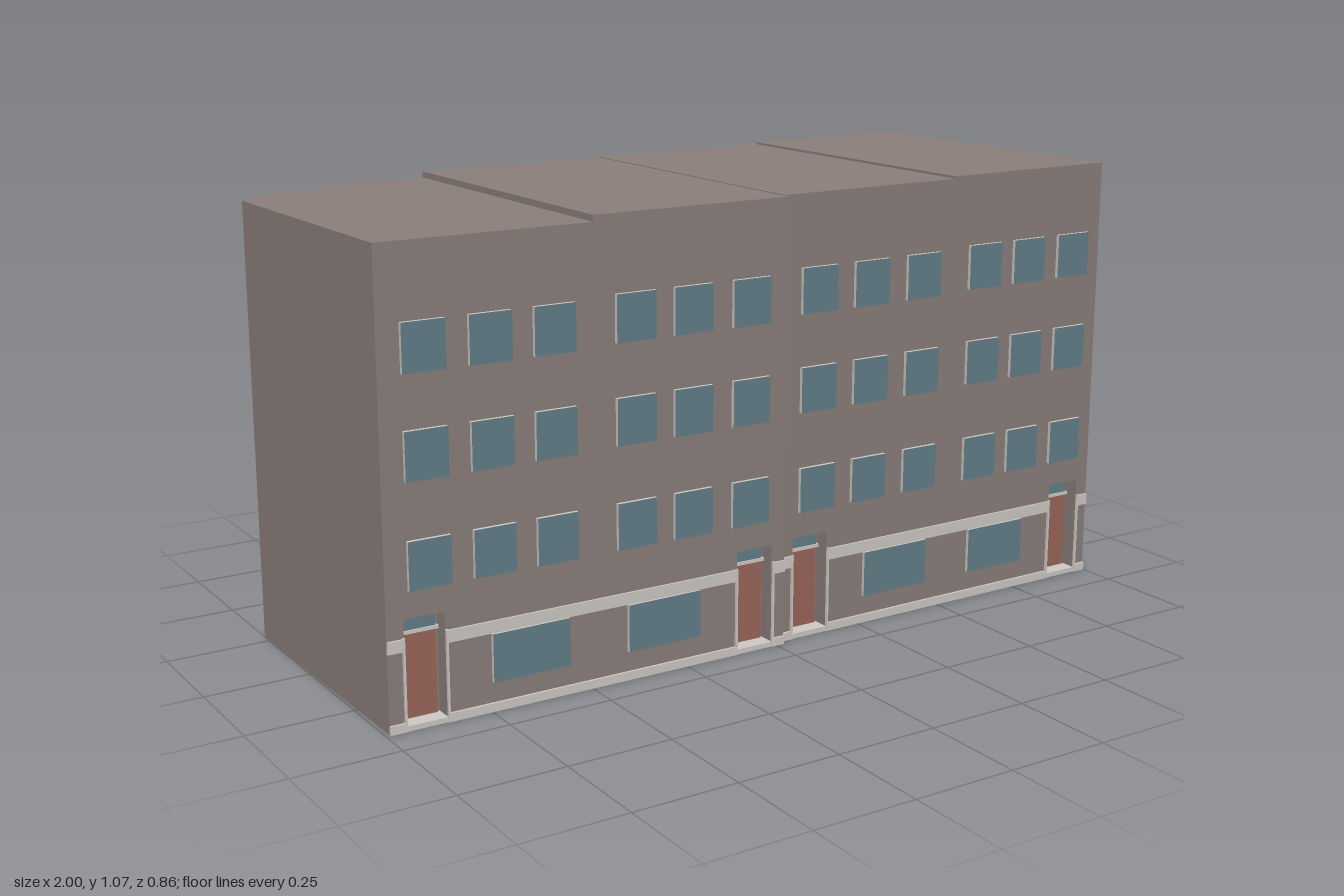
import * as THREE from 'three';

const mat = (name, color) => {
  const m = new THREE.MeshStandardMaterial({ color });
  m.name = name;
  return m;
};

export function createModel() {
  const wall = mat('brownGreyRender', 0x8c807c);
  const glass = mat('blueGreyGlass', 0x64808a);
  const stone = mat('paleStone', 0xd0cbc6);
  const wood = mat('redBrownDoor', 0x9c675b);
  const root = new THREE.Group();
  root.name = 'terraceBuilding';

  // The right pair of houses stands slightly behind the left pair.
  const STEP = 0.02;
  const front = x => x < STEP ? 0.412 + 0.008 * (x + 1) : 0.406 - 0.005 * (x - STEP);
  const back = x => -0.415 - 0.015 * (x + 0.73) / 1.715;

  // Vertical prism from a plan outline of [x, z] points.
  function prism(name, plan, y0, y1, material, parent = root) {
    const shape = new THREE.Shape(plan.map(([x, z]) => new THREE.Vector2(x, -z)));
    const geo = new THREE.ExtrudeGeometry(shape, { depth: y1 - y0, bevelEnabled: false });
    geo.rotateX(-Math.PI / 2).translate(0, y0, 0);
    const mesh = new THREE.Mesh(geo, material);
    mesh.name = name;
    parent.add(mesh);
  }
  // Strip that follows the front wall between two x positions.
  const strip = (name, x0, x1, y0, y1, zin, zout, material, parent) => {
    const a = x0 + 1e-5, b = x1 - 1e-5;
    prism(name, [[a, front(a) + zin], [b, front(b) + zin], [b, front(b) + zout], [a, front(a) + zout]],
      y0, y1, material, parent);
  };

  const doors = [[-0.95, -0.855], [-0.112, -0.015], [0.055, 0.155], [0.87, 0.965]];
  const doorTop = 0.25, recess = 0.04;
  const chamfer = [[-0.73, -0.415], [-0.80, -0.345], [-0.94, -0.345], [-1, -0.28]];

  // Ground storey with door recesses cut into its plan
  const plan = [...chamfer, [-0.99, front(-0.99)]];
  doors.forEach(([a, b], i) => {
    if (i === 2) plan.push([STEP, front(STEP - 1e-5)], [STEP, front(STEP)]);
    plan.push([a, front(a)], [a, front(a) - recess], [b, front(b) - recess], [b, front(b)]);
  });
  plan.push([1, front(1)], [0.985, back(0.985)]);
  prism('groundStorey', plan, 0, doorTop, wall);

  // Upper storeys: four houses with stepped roofs
  const cuts = [-0.485, STEP, 0.52];
  prism('upperHouse1', [...chamfer, [-0.99, front(-0.99)], [cuts[0], front(cuts[0])],
    [cuts[0], back(cuts[0])]], doorTop, 1.05, wall);
  [[cuts[0], cuts[1], 1.065], [cuts[1], cuts[2], 1.067]].forEach(([a, b, h], i) =>
    prism('upperHouse' + (i + 2), [[a, back(a)], [a, front(a)], [b, front(b - 1e-5)], [b, back(b)]],
      doorTop, h, wall));
  prism('upperHouse4', [[cuts[2], back(cuts[2])], [cuts[2], front(cuts[2])], [1, front(1)],
    [0.985, back(0.985)]], doorTop, 1.073, wall);

  // Doors: leaf, transom light, threshold and slim surround
  for (const [a, b] of doors) {
    const door = new THREE.Group();
    door.name = 'doorway';
    root.add(door);
    strip('doorLeaf', a + 0.006, b - 0.006, 0.012, 0.203, -recess, -recess + 0.006, wood, door);
    strip('transomBar', a, b, 0.203, 0.211, -recess, -recess + 0.009, stone, door);
    strip('transomLight', a + 0.006, b - 0.006, 0.211, 0.243, -recess, -recess + 0.006, glass, door);
    strip('threshold', a, b, 0, 0.012, -recess, 0.004, stone, door);
    strip('leftJamb', a - 0.005, a, 0, 0.21, 0, 0.006, stone, door);
    strip('rightJamb', b, b + 0.005, 0, 0.21, 0, 0.006, stone, door);
  }

  // Stone plinth and string course between the doors
  const gaps = [[-0.99, -0.955], [-0.85, -0.117], [-0.01, STEP], [STEP, 0.05], [0.16, 0.865], [0.97, 1]];
  for (const [a, b] of gaps) {
    strip('plinth', a, b, 0, 0.02, 0, 0.006, stone);
    strip('stringCourse', a, b, 0.18, 0.208, 0, 0.005, stone);
  }

  // Windows: glass face on a shallow pale casing
  const faces = [stone, stone, stone, stone, glass, stone];
  function pane(name, x, y, w, h) {
    const mesh = new THREE.Mesh(new THREE.BoxGeometry(w, h, 0.009), faces);
    mesh.name = name;
    mesh.position.set(x, y, front(x) + 0.0045);
    root.add(mesh);
  }
  const columns = [-0.888, -0.735, -0.583, -0.383, -0.235, -0.08, 0.12, 0.272, 0.428, 0.62, 0.762, 0.907];
  columns.forEach((x, i) => {
    const rise = Math.floor(i / 3) * 0.006;
    [0.364, 0.6, 0.828].forEach((y, row) => pane('upperWindow', x, y + rise * row / 2 + 0.002, 0.1, 0.108));
  });
  [[-0.652, 0.19], [-0.312, 0.19], [0.36, 0.19], [0.682, 0.175]].forEach(([x, w]) =>
    pane('shopWindow', x, 0.124, w, 0.111));

  return root;
}
